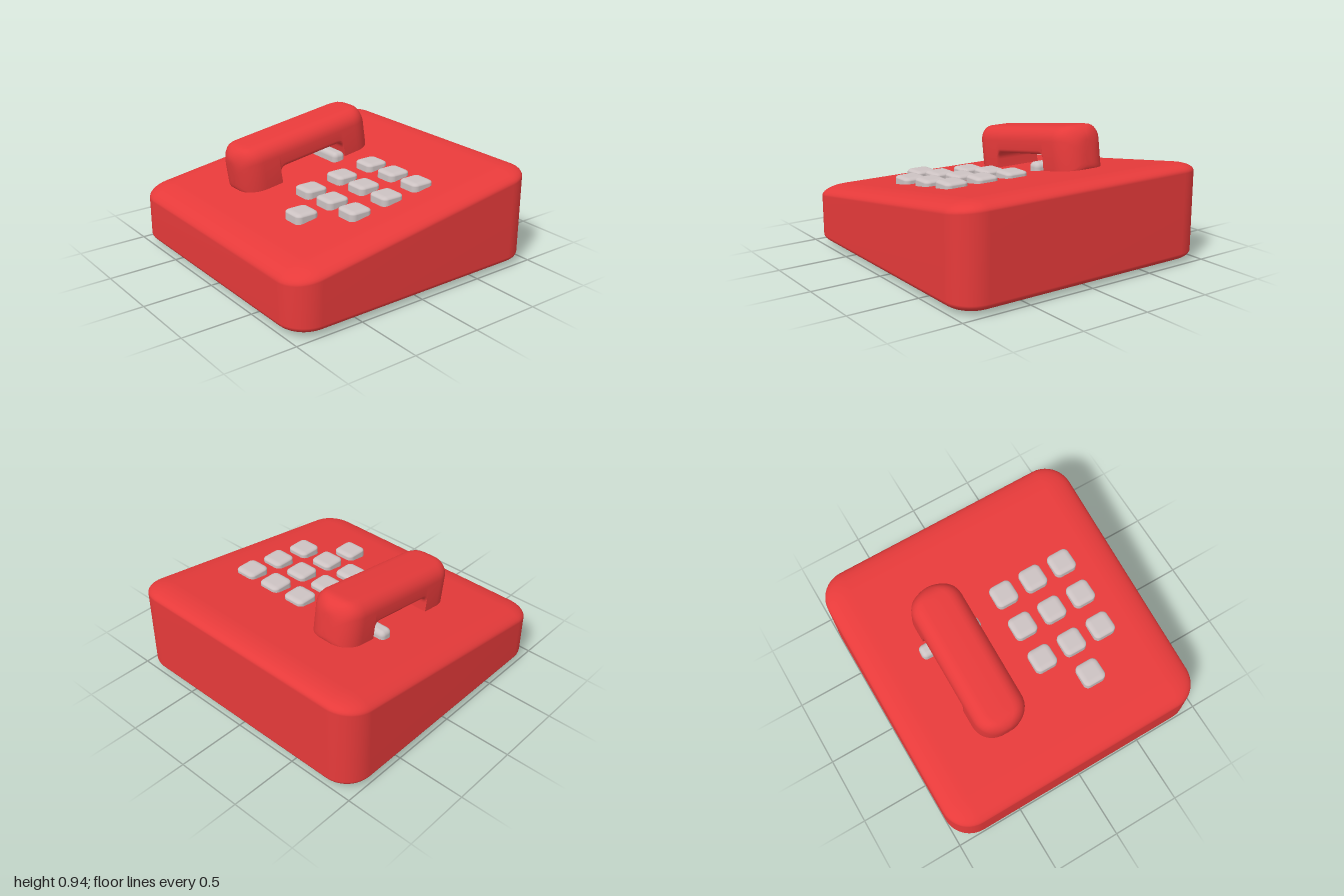
import * as THREE from 'three';
import { mergeVertices, toCreasedNormals } from 'three/addons/utils/BufferGeometryUtils.js';
import { RoundedBoxGeometry } from 'three/addons/geometries/RoundedBoxGeometry.js';

const SLOPE = 0.15;      // rise of the sloping top along x
const TOP = 0.57;        // height of the sloping top at x = 0
const red = new THREE.MeshStandardMaterial({ color: 0xe63a3a });
const grey = new THREE.MeshStandardMaterial({ color: 0xccc2c2 });

function addMesh(parent, name, geometry, material, x = 0, y = 0, z = 0) {
  const mesh = new THREE.Mesh(geometry, material);
  mesh.name = name;
  mesh.position.set(x, y, z);
  parent.add(mesh);
  return mesh;
}

// Wedge body: a rounded box with flattened edge curves, its upper half sheared
function bodyGeometry() {
  const r = 0.2, ry = 0.075;
  let geo = new RoundedBoxGeometry(2, TOP * r / ry, 2, 6, r);
  geo.scale(1, ry / r, 1);
  geo.deleteAttribute('normal');
  geo.deleteAttribute('uv');
  geo.clearGroups();
  geo = mergeVertices(geo, 1e-4);
  const p = geo.attributes.position;
  for (let i = 0; i < p.count; i++) {
    if (p.getY(i) > 0) p.setY(i, p.getY(i) + SLOPE * p.getX(i));
  }
  geo.translate(0, TOP / 2, 0);
  geo.computeVertexNormals();
  return geo;
}

// Inset of a quarter round of radius r at a distance from its end
const inset = (dist, r) => dist >= r ? 0 : r - Math.sqrt(r * r - (r - dist) ** 2);

// Handset: rounded sections along x, with a notch cut into the underside
function handsetGeometry() {
  const x0 = -0.498, x1 = 0.623, n0 = -0.21, n1 = 0.348;
  const stations = [];
  const add = (x, inNotch) => {
    const end = Math.min(x - x0, x1 - x);
    const wall = Math.min(x - n0, n1 - x);
    stations.push({
      x,
      half: 0.187 - inset(end, 0.16),
      top: 0.868 - inset(end, 0.1),
      bottom: inNotch ? 0.675 - inset(wall, 0.05) : 0.535 + inset(end, 0.06),
    });
  };
  const N = 10, M = 5;
  const ease = (i, n) => 1 - Math.cos(i / n * Math.PI / 2);
  for (let i = 0; i <= N; i++) add(x0 + 0.16 * ease(i, N), false);
  add(n0, false);
  for (let i = 0; i <= M; i++) add(n0 + 0.05 * ease(i, M), true);
  for (let i = M; i >= 0; i--) add(n1 - 0.05 * ease(i, M), true);
  add(n1, false);
  for (let i = N; i >= 0; i--) add(x1 - 0.16 * ease(i, N), false);

  const K = 6, ring = 4 * (K + 1);
  const pos = [], index = [];
  for (const s of stations) {
    for (let q = 0; q < 4; q++) {
      const upper = q < 2, side = q === 0 || q === 3 ? 1 : -1;
      const r = upper ? 0.1 : 0.03;
      const rz = Math.min(r, s.half * 0.9);
      for (let k = 0; k <= K; k++) {
        const a = (q + k / K) * Math.PI / 2;
        pos.push(
          s.x,
          (upper ? s.top - r : s.bottom + r) + r * Math.sin(a),
          side * (s.half - rz) + rz * Math.cos(a),
        );
      }
    }
  }
  const last = (stations.length - 1) * ring;
  for (let j = 0; j < ring; j++) {
    const k = (j + 1) % ring;
    for (let o = 0; o < last; o += ring) {
      index.push(o + j, o + ring + j, o + ring + k, o + j, o + ring + k, o + k);
    }
    if (j > 0 && k > 0) index.push(0, j, k, last, last + k, last + j);
  }
  const geo = new THREE.BufferGeometry();
  geo.setAttribute('position', new THREE.Float32BufferAttribute(pos, 3));
  geo.setIndex(index);
  return toCreasedNormals(geo, 0.9);
}

export function createModel() {
  const model = new THREE.Group();
  model.name = 'deskTelephone';

  addMesh(model, 'body', bodyGeometry(), red);

  // Handset tilted with the sloping top
  const handset = addMesh(model, 'handset', handsetGeometry(), red, 0, 0, -0.355);
  handset.rotation.z = Math.atan(SLOPE);

  // Cradle bar under the handset
  addMesh(model, 'cradleBar', new RoundedBoxGeometry(0.1, 0.13, 0.47, 4, 0.035), grey,
    0.185, 0.595, -0.365);

  // Three by three keypad plus one extra key on the middle row
  const keypad = new THREE.Group();
  keypad.name = 'keypad';
  model.add(keypad);
  const keyGeo = new RoundedBoxGeometry(0.172, 0.2, 0.172, 4, 0.04);
  keyGeo.scale(1, 0.5, 1);
  const addKey = (x, z) => addMesh(keypad, 'key', keyGeo, grey, x, TOP + 0.14 * x, z);
  for (const z of [0.12, 0.36, 0.6]) {
    for (const x of [-0.255, 0.012, 0.272]) addKey(x, z);
  }
  addKey(-0.507, 0.36);

  return model;
}
